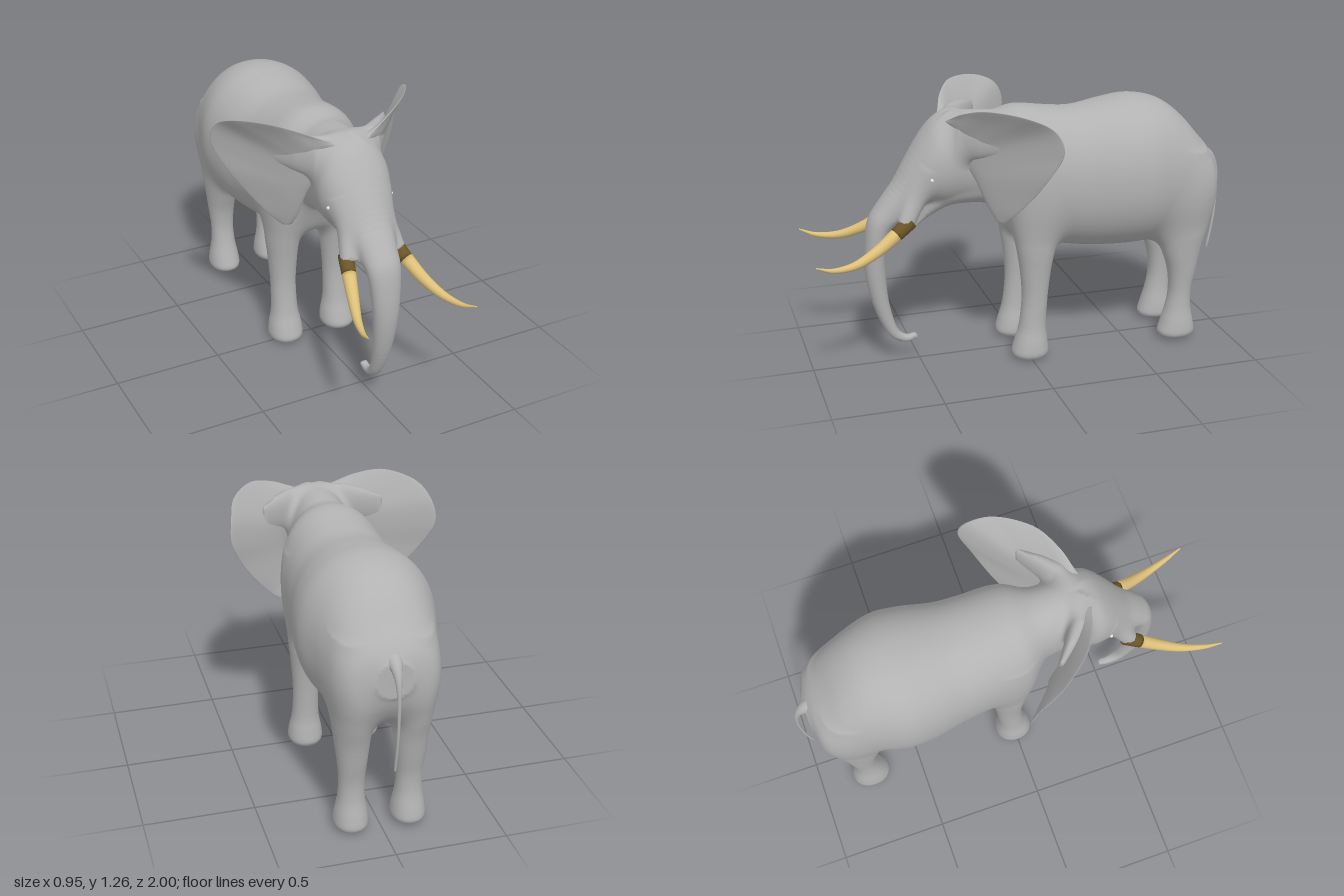
import * as THREE from 'three';

const V = (x, y, z) => new THREE.Vector3(x, y, z);
const material = (name, color) => Object.assign(new THREE.MeshStandardMaterial({ color }), { name });
const smoothCurve = (pts) => new THREE.CatmullRomCurve3(pts, false, 'catmullrom', 0.5);
const mix = (a, b, t) => a + (b - a) * t;

function meshGeometry(pos, idx) {
  const g = new THREE.BufferGeometry();
  g.setAttribute('position', new THREE.Float32BufferAttribute(pos, 3));
  g.setIndex(idx);
  g.computeVertexNormals();
  return g;
}

// Closed skin over rings of points, turned so that its volume is positive
function skin(rings) {
  const n = rings[0].length, m = rings.length, pts = rings.flat(), idx = [];
  for (let i = 0; i < m - 1; i++) {
    for (let j = 0; j < n; j++) {
      const a = i * n + j, b = i * n + (j + 1) % n;
      idx.push(a, b, a + n, b, b + n, a + n);
    }
  }
  for (let j = 1; j < n - 1; j++) {
    const e = (m - 1) * n;
    idx.push(0, j + 1, j, e, e + j, e + j + 1);
  }
  let volume = 0;
  for (let i = 0; i < idx.length; i += 3) {
    volume += pts[idx[i]].dot(pts[idx[i + 1]].clone().cross(pts[idx[i + 2]]));
  }
  if (volume < 0) idx.reverse();
  return meshGeometry(pts.flatMap((p) => [p.x, p.y, p.z]), idx);
}

// Frames {c, h, s}: centre and two half axes of an ellipse.
// Each section is [z, y of one edge, z, y of the other edge, half width]
function loftFrames(sections, cx = 0) {
  const A = smoothCurve(sections.map(([z, y, , , w]) => V(w, y, z)));
  const B = smoothCurve(sections.map(([, , z, y, w]) => V(w, y, z)));
  const count = (sections.length - 1) * 4;
  return Array.from({ length: count + 1 }, (_, i) => {
    const a = A.getPoint(i / count), b = B.getPoint(i / count);
    return {
      c: V(cx, (a.y + b.y) / 2, (a.z + b.z) / 2),
      h: V(0, (a.y - b.y) / 2, (a.z - b.z) / 2), s: V(a.x, 0, 0),
    };
  });
}

function tubeFrames(curve, radius, t0 = 0, t1 = 1, steps = 24) {
  return Array.from({ length: steps + 1 }, (_, i) => {
    const t = mix(t0, t1, i / steps), d = curve.getTangent(t), r = radius(t);
    const u = V(1, 0, 0).addScaledVector(d, -d.x).normalize();
    return { c: curve.getPoint(t), h: u.clone().multiplyScalar(r), s: d.clone().cross(u).multiplyScalar(r) };
  });
}

const tube = (...args) => skin(tubeFrames(...args).map(({ c, h, s }) => Array.from({ length: 18 }, (_, j) => {
  const a = (j / 18) * Math.PI * 2;
  return c.clone().addScaledVector(h, Math.cos(a)).addScaledVector(s, Math.sin(a));
})));

// Approximate signed distance to the solid swept through a list of frames
function field(frames) {
  const box = new THREE.Box3();
  const fs = frames.map(({ c, h, s }, i) => {
    const n = h.clone().cross(s).normalize();
    const ahead = frames[Math.min(i + 1, frames.length - 1)].c.clone().sub(frames[Math.max(i - 1, 0)].c);
    if (n.dot(ahead) < 0) n.negate();
    const R = Math.max(h.length(), s.length());
    box.expandByPoint(c.clone().addScalar(R)).expandByPoint(c.clone().addScalar(-R));
    return { c, n, H: h.length(), S: s.length(), u: h.clone().normalize(), v: s.clone().normalize() };
  });
  const along = (p, c, d) => (p.x - c.x) * d.x + (p.y - c.y) * d.y + (p.z - c.z) * d.z;
  const section = (p, a, b, t) => {
    const x = mix(along(p, a.c, a.u), along(p, b.c, b.u), t), y = mix(along(p, a.c, a.v), along(p, b.c, b.v), t);
    const H = mix(a.H, b.H, t), S = mix(a.S, b.S, t);
    const r = Math.pow(Math.pow(Math.abs(x / H), 2.15) + Math.pow(Math.abs(y / S), 2.15), 1 / 2.15);
    return r < 1e-3 ? -Math.min(H, S) : Math.hypot(x, y) * (1 - 1 / r);
  };
  return (p) => {
    if (box.distanceToPoint(p) > 0.1) return 1;
    const last = fs[fs.length - 1];
    let da = along(p, fs[0].c, fs[0].n), best = 1;
    if (da < 0) best = Math.max(-da, section(p, fs[0], fs[0], 0));
    for (let i = 1; i < fs.length; i++) {
      const db = along(p, fs[i].c, fs[i].n);
      if (da >= 0 && db <= 0) best = Math.min(best, section(p, fs[i - 1], fs[i], da / (da - db + 1e-9)));
      da = db;
    }
    return da > 0 ? Math.min(best, Math.max(da, section(p, last, last, 0))) : best;
  };
}

const smoothMin = (a, b, k) => {
  const h = Math.max(k - Math.abs(a - b), 0) / k;
  return Math.min(a, b) - h * h * k / 4;
};

// Quad mesh of the zero surface of f on a regular grid
function surface(f, min, max, step) {
  const N = max.clone().sub(min).divideScalar(step).ceil().toArray().map((v) => v + 1);
  const S = [1, N[0], N[0] * N[1]], val = new Float32Array(N[0] * N[1] * N[2]), cell = new Int32Array(val.length);
  const node = (q) => V(q % N[0], Math.floor(q / S[1]) % N[1], Math.floor(q / S[2])).multiplyScalar(step).add(min);
  for (let q = 0; q < val.length; q++) val[q] = f(node(q));
  const pos = [], idx = [], normals = [], e = 0.006;
  const inner = (visit) => {
    for (let k = 1; k < N[2] - 1; k++) for (let j = 1; j < N[1] - 1; j++) for (let i = 1; i < N[0] - 1; i++) visit(i + j * S[1] + k * S[2]);
  };
  inner((q) => {
    const sum = V(0, 0, 0);
    let hits = 0;
    for (let corner = 0; corner < 8; corner++) for (let a = 0; a < 3; a++) {
      if (corner >> a & 1) continue;
      const o = [corner & 1, corner >> 1 & 1, corner >> 2];
      const p = q + o[0] + o[1] * S[1] + o[2] * S[2], v0 = val[p], v1 = val[p + S[a]];
      if (v0 < 0 === v1 < 0) continue;
      o[a] += v0 / (v0 - v1);
      sum.add(V(...o));
      hits++;
    }
    if (!hits) return;
    const p = sum.multiplyScalar(step / hits).add(node(q));
    const n = V(...[V(e, 0, 0), V(0, e, 0), V(0, 0, e)].map((d) => f(p.clone().add(d)) - f(p.clone().sub(d)))).normalize();
    cell[q] = pos.length / 3;
    pos.push(p.x, p.y, p.z);
    normals.push(n.x, n.y, n.z);
  });
  inner((q) => {
    for (let a = 0; a < 3; a++) {
      if (val[q] < 0 === val[q + S[a]] < 0) continue;
      const u = S[(a + 1) % 3], v = S[(a + 2) % 3];
      const [A, B, C, D] = [q - u - v, q - v, q, q - u].map((c) => cell[c]);
      if (val[q] < 0) idx.push(A, B, C, A, C, D);
      else idx.push(A, C, B, A, D, C);
    }
  });
  const g = meshGeometry(pos, idx);
  g.setAttribute('normal', new THREE.Float32BufferAttribute(normals, 3));
  return g;
}

// Ear: teardrop sections, thick at the root on the head and thin at the free edge
function ear(side) {
  const rows = [
    [0.03, 1.14, 0.36, 0.11, 1.172, 0.36], [0.07, 1.12, 0.34, 0.205, 1.216, 0.325],
    [0.10, 1.09, 0.325, 0.32, 1.25, 0.25], [0.12, 1.05, 0.31, 0.425, 1.237, 0.11],
    [0.13, 1.0, 0.30, 0.465, 1.18, -0.01], [0.14, 0.95, 0.285, 0.473, 1.08, -0.05],
    [0.155, 0.90, 0.26, 0.42, 0.96, -0.005], [0.165, 0.84, 0.235, 0.345, 0.845, 0.05],
    [0.172, 0.77, 0.205, 0.275, 0.755, 0.105], [0.185, 0.71, 0.17, 0.22, 0.70, 0.14],
  ];
  const root = smoothCurve(rows.map((r) => V(side * r[0], r[1], r[2])));
  const edge = smoothCurve(rows.map((r) => V(side * r[3], r[4], r[5])));
  return skin(Array.from({ length: 55 }, (_, i) => Array.from({ length: 32 }, (__, j) => {
    const t = i / 54, angle = (j / 32) * Math.PI * 2, k = (1 - Math.cos(angle)) / 2;
    const thick = (0.007 + (0.01 + 0.03 * (1 - t)) * k * k) * Math.sin(angle);
    return edge.getPoint(t).lerp(root.getPoint(t), k).add(V(side * 0.72, 0, 0.7).multiplyScalar(thick));
  })));
}

export function createModel() {
  const group = new THREE.Group();
  const hide = material('grey hide', 0xb2b2b2), ivory = material('ivory', 0xdcbf78);
  const darkIvory = material('dark ivory', 0x6b5528), eyeWhite = material('eye white', 0xf2f2f2);
  const add = (name, geometry, mat = hide) => {
    const mesh = new THREE.Mesh(geometry, mat);
    mesh.name = name;
    group.add(mesh);
    return mesh;
  };

  const barrel = field(loftFrames([
    [0.19, 1.08, 0.15, 0.80, 0.10], [0.10, 1.16, 0.10, 0.67, 0.19], [0.02, 1.187, 0.035, 0.57, 0.235],
    [-0.12, 1.17, -0.12, 0.525, 0.25], [-0.25, 1.16, -0.28, 0.495, 0.265], [-0.40, 1.183, -0.42, 0.485, 0.295],
    [-0.53, 1.197, -0.55, 0.485, 0.303], [-0.66, 1.17, -0.67, 0.50, 0.27], [-0.76, 1.10, -0.78, 0.53, 0.24],
    [-0.84, 1.01, -0.86, 0.58, 0.215], [-0.90, 0.94, -0.91, 0.65, 0.17], [-0.935, 0.88, -0.937, 0.72, 0.08],
  ]));
  // Neck, head and trunk in one sweep
  const head = field(loftFrames([
    [-0.05, 1.13, -0.05, 0.78, 0.17], [0.12, 1.165, 0.12, 0.73, 0.155], [0.24, 1.178, 0.22, 0.75, 0.142],
    [0.34, 1.18, 0.32, 0.76, 0.16], [0.41, 1.15, 0.38, 0.76, 0.168], [0.47, 1.08, 0.43, 0.77, 0.153],
    [0.54, 0.97, 0.465, 0.765, 0.124], [0.60, 0.87, 0.50, 0.74, 0.105], [0.67, 0.78, 0.56, 0.69, 0.088],
    [0.72, 0.70, 0.62, 0.65, 0.078], [0.74, 0.58, 0.645, 0.55, 0.067], [0.742, 0.45, 0.648, 0.44, 0.057],
    [0.72, 0.32, 0.64, 0.32, 0.046], [0.68, 0.20, 0.62, 0.22, 0.035], [0.63, 0.115, 0.595, 0.15, 0.027],
    [0.56, 0.083, 0.555, 0.12, 0.021], [0.505, 0.098, 0.515, 0.13, 0.018],
  ]));
  const jaw = field(loftFrames([
    [0.20, 0.90, 0.20, 0.755, 0.10], [0.36, 0.88, 0.34, 0.752, 0.11], [0.45, 0.82, 0.42, 0.715, 0.08],
    [0.485, 0.72, 0.472, 0.68, 0.045], [0.505, 0.655, 0.50, 0.65, 0.015],
  ]));
  const frontLeg = field(loftFrames([
    [0.07, 0.0, -0.075, 0.0, 0.066], [0.085, 0.025, -0.09, 0.025, 0.081], [0.072, 0.08, -0.085, 0.08, 0.077],
    [0.05, 0.16, -0.077, 0.16, 0.063], [0.036, 0.30, -0.085, 0.30, 0.06], [0.045, 0.43, -0.10, 0.43, 0.068],
    [0.062, 0.54, -0.12, 0.54, 0.078], [0.08, 0.66, -0.13, 0.66, 0.082], [0.08, 0.78, -0.12, 0.78, 0.07],
    [0.05, 0.95, -0.08, 0.95, 0.04],
  ], 0.14));
  const hindLeg = field(loftFrames([
    [-0.67, 0.01, -0.825, 0.01, 0.064], [-0.658, 0.03, -0.84, 0.03, 0.076], [-0.672, 0.08, -0.833, 0.08, 0.073],
    [-0.695, 0.16, -0.817, 0.16, 0.06], [-0.708, 0.25, -0.817, 0.25, 0.057], [-0.698, 0.35, -0.837, 0.35, 0.065],
    [-0.665, 0.45, -0.86, 0.46, 0.076], [-0.63, 0.55, -0.89, 0.56, 0.086], [-0.62, 0.67, -0.915, 0.68, 0.088],
    [-0.65, 0.78, -0.90, 0.79, 0.072], [-0.70, 0.90, -0.83, 0.90, 0.04],
  ], 0.13));
  // Swollen cheek that holds the tusk
  const cheek = field(tubeFrames(smoothCurve([V(0.08, 0.92, 0.45), V(0.09, 0.81, 0.52), V(0.12, 0.705, 0.575)]),
    (t) => 0.06 - 0.022 * t));
  // Fleshy mound between forehead and ear
  const earBase = field([
    [0.03, 1.06, 0.33, 0.11, 0.06], [0.13, 1.08, 0.30, 0.10, 0.05], [0.20, 1.09, 0.24, 0.085, 0.035],
    [0.28, 1.10, 0.16, 0.06, 0.014],
  ].map(([x, y, z, h, s]) => ({ c: V(x, y, z), h: V(0, h, 0), s: V(0.6, 0, 0.8).multiplyScalar(s) })));

  // One continuous hide; limbs and cheeks are mirrored through |x|
  const hideField = (p) => {
    const m = V(Math.abs(p.x), p.y, p.z);
    let d = smoothMin(barrel(m), head(m), 0.05);
    d = smoothMin(d, jaw(m), 0.02);
    d = smoothMin(d, cheek(m), 0.03);
    d = smoothMin(d, earBase(m), 0.05);
    return smoothMin(d, Math.min(frontLeg(m), hindLeg(m)), 0.08);
  };
  add('bodyHeadAndLegs', surface(hideField, V(-0.35, -0.03, -0.99), V(0.35, 1.25, 0.79), 0.0125));

  const tail = smoothCurve([V(0, 0.88, -0.85), V(0, 0.87, -0.93), V(0, 0.81, -0.976),
    V(0, 0.70, -0.99), V(0, 0.55, -0.984), V(0, 0.39, -0.957)]);
  add('tail', tube(tail, (t) => 0.006 + 0.06 * Math.pow(1 - t, 4)));

  for (const side of [1, -1]) {
    const label = side > 0 ? 'left' : 'right';
    add(label + 'Ear', ear(side));
    // Tusk with a dark root
    const tusk = smoothCurve([[0.12, 0.72, 0.55], [0.145, 0.665, 0.63], [0.175, 0.61, 0.72],
      [0.21, 0.573, 0.82], [0.24, 0.572, 0.92], [0.26, 0.60, 0.998]].map(([x, y, z]) => V(side * x, y, z)));
    const radius = (t) => 0.003 + 0.031 * (1 - Math.pow(t, 1.4));
    add(label + 'TuskRoot', tube(tusk, radius, 0, 0.18, 6), darkIvory);
    add(label + 'Tusk', tube(tusk, radius, 0.18, 1), ivory);
    const eye = add(label + 'Eye', new THREE.SphereGeometry(0.008, 14, 10), eyeWhite);
    eye.position.set(side * 0.155, 0.912, 0.455);
  }
  return group;
}
